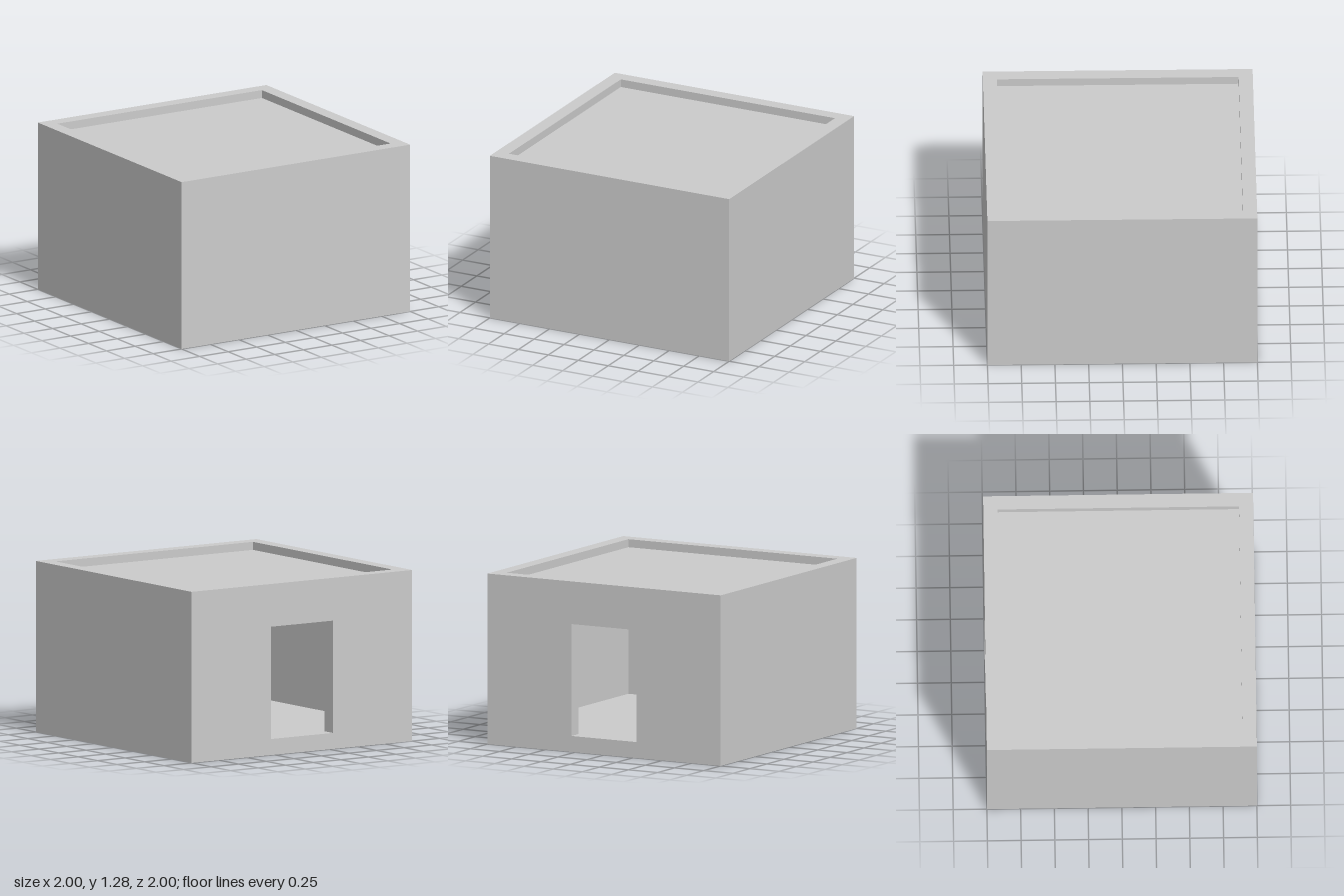
import * as THREE from 'three';

const HEIGHT = 1.28;      // top of the parapet
const WALL = 0.105;       // wall thickness
const INNER = 1 - WALL;   // half width of the room
const FLOOR = 0.12;       // top of the floor slab
const CEILING = 1.12;     // underside of the roof slab
const ROOF = 1.22;        // top of the roof slab

const material = new THREE.MeshStandardMaterial({ color: 0xcccccc, flatShading: true });

function rectangle(target, x, y0, y1) {
  target.moveTo(-x, y0);
  target.lineTo(x, y0);
  target.lineTo(x, y1);
  target.lineTo(-x, y1);
  target.closePath();
  return target;
}

// Wall facing +z, its ends mitred at 45 degrees, optionally with a doorway
function wallGeometry(hasDoorway) {
  const shape = rectangle(new THREE.Shape(), 1, 0, HEIGHT);
  if (hasDoorway) shape.holes.push(rectangle(new THREE.Path(), 0.28, FLOOR, 0.96));
  const geometry = new THREE.ExtrudeGeometry(shape, { depth: WALL, bevelEnabled: false });
  geometry.translate(0, 0, INNER);
  const p = geometry.attributes.position;
  for (let i = 0; i < p.count; i++) {
    const x = p.getX(i);
    if (Math.abs(x) > 0.99 && p.getZ(i) < 0.99) p.setX(i, Math.sign(x) * INNER);
  }
  geometry.computeVertexNormals();
  return geometry;
}

// Horizontal slab filling the space between the walls
function slab(name, y0, y1) {
  const mesh = new THREE.Mesh(new THREE.BoxGeometry(2 * INNER, y1 - y0, 2 * INNER), material);
  mesh.position.y = (y0 + y1) / 2;
  mesh.name = name;
  return mesh;
}

export function createModel() {
  const model = new THREE.Group();
  model.name = 'flatRoofedHouse';

  // Four walls; the back one has the doorway
  ['frontWall', 'leftWall', 'backWall', 'rightWall'].forEach((name, i) => {
    const wall = new THREE.Mesh(wallGeometry(name === 'backWall'), material);
    wall.name = name;
    wall.rotation.y = (i * Math.PI) / 2;
    model.add(wall);
  });

  // Floor, and roof sunk below the parapet
  model.add(slab('floor', 0, FLOOR), slab('roof', CEILING, ROOF));
  return model;
}
